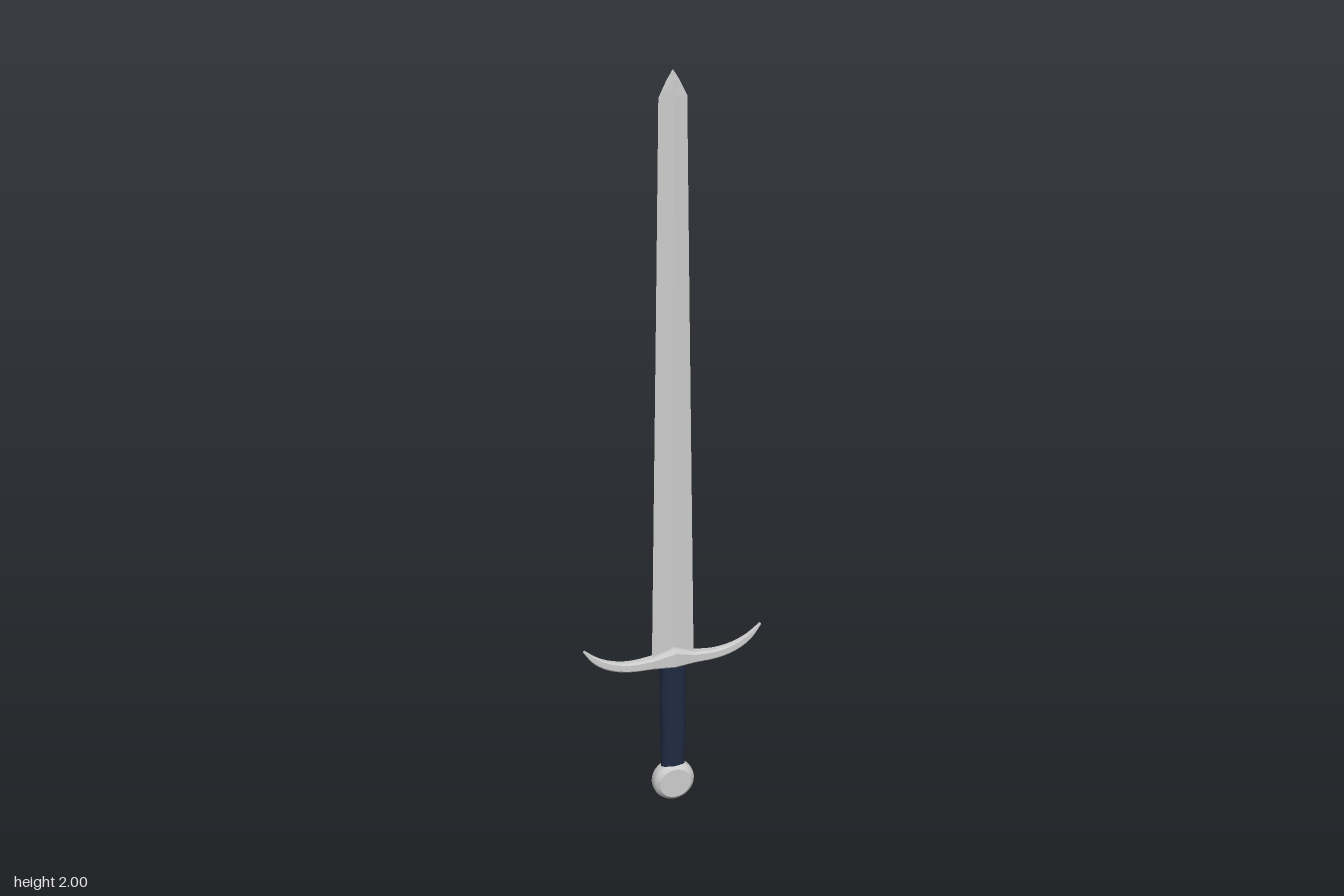
import * as THREE from 'three';
import { toCreasedNormals } from 'three/addons/utils/BufferGeometryUtils.js';

const metal = new THREE.MeshStandardMaterial({ color: 0xcccccc });
const leather = new THREE.MeshStandardMaterial({ color: 0x1f2a42 });

// Skin over rings of [x, y, z]; each ring runs counter-clockwise seen from the far end
function loft(rings, crease) {
  const n = rings[0].length;
  const index = [];
  for (let i = 0; i < rings.length - 1; i++) {
    for (let j = 0; j < n; j++) {
      const a = i * n + j, b = i * n + (j + 1) % n;
      index.push(a, b, b + n, a, b + n, a + n);
    }
  }
  const last = (rings.length - 1) * n;
  for (let j = 1; j < n - 1; j++) {
    index.push(0, j + 1, j, last, last + j, last + j + 1);
  }
  const geometry = new THREE.BufferGeometry();
  geometry.setAttribute('position', new THREE.Float32BufferAttribute(rings.flat(2), 3));
  geometry.setIndex(index);
  return toCreasedNormals(geometry, crease);
}

function part(name, geometry, material) {
  const mesh = new THREE.Mesh(geometry, material);
  mesh.name = name;
  return mesh;
}

// Flat diamond blade with a narrow central ridge: [y, half width, half thickness, ridge half width]
function makeBlade() {
  const sections = [
    [0.42, 0.056, 0.009, 0.005],
    [1.34, 0.043, 0.006, 0.003],
    [1.935, 0.035, 0.004, 0.001],
    [1.975, 0.016, 0.003, 0.0006],
    [2.0, 0.001, 0.0005, 0.0003],
  ];
  const rings = sections.map(([y, w, t, r]) => [
    [w, y, 0], [r, y, -t], [-r, y, -t], [-w, y, 0], [-r, y, t], [r, y, t],
  ]);
  return part('blade', loft(rings, 0.05), metal);
}

// Crossguard: peaked centre block, arms sweeping up to thin tips
function makeGuard() {
  const curve = (points) => new THREE.CatmullRomCurve3(points.map(([x, y, z]) => new THREE.Vector3(x, y, z)));
  // z carries the half depth of the section
  const upper = curve([[0.055, 0.437, 0.014], [0.11, 0.433, 0.011], [0.16, 0.442, 0.008],
    [0.2, 0.461, 0.0055], [0.234, 0.488, 0.003]]);
  const lower = curve([[0.055, 0.405, 0.014], [0.12, 0.407, 0.011], [0.17, 0.42, 0.008],
    [0.21, 0.446, 0.0055], [0.238, 0.484, 0.003]]);
  const stations = [[new THREE.Vector3(0, 0.463, 0.029), new THREE.Vector3(0, 0.405, 0.029)]];
  for (let i = 0; i <= 12; i++) stations.push([upper.getPoint(i / 12), lower.getPoint(i / 12)]);

  const outline = [[1, 0.6], [0.65, 1], [-0.65, 1], [-1, 0.6], [-1, -0.6], [-0.65, -1], [0.65, -1], [1, -0.6]];
  const ring = ([top, bottom], side) => outline.map(([v, d]) => {
    const p = bottom.clone().lerp(top, (v + 1) / 2);
    return [side * p.x, p.y, d * p.z];
  });
  const rings = [
    ...stations.slice(1).reverse().map((s) => ring(s, -1)),
    ...stations.map((s) => ring(s, 1)),
  ];
  return part('crossguard', loft(rings, 0.42), metal);
}

// Oval grip, slightly swollen in the middle
function makeGrip() {
  const rings = [[0.095, 0.032], [0.2, 0.034], [0.32, 0.035], [0.415, 0.034]].map(([y, w]) =>
    Array.from({ length: 16 }, (_, i) => {
      const a = (i / 16) * Math.PI * 2;
      return [w * Math.cos(a), y, -0.018 * Math.sin(a)];
    }));
  return part('grip', loft(rings, 0.8), leather);
}

// Round pommel disc with chamfered rim and flat faces, turned to face front and back
function makePommel() {
  const profile = [[0, -0.024], [0.042, -0.024], [0.052, -0.016], [0.056, -0.007],
    [0.056, 0.007], [0.052, 0.016], [0.042, 0.024], [0, 0.024]];
  const lathe = new THREE.LatheGeometry(profile.map(([r, y]) => new THREE.Vector2(r, y)), 32);
  const geometry = toCreasedNormals(lathe, 0.55);
  geometry.rotateX(Math.PI / 2);
  geometry.translate(0, 0.056, 0);
  return part('pommel', geometry, metal);
}

export function createModel() {
  const sword = new THREE.Group();
  sword.name = 'sword';
  sword.add(makeBlade(), makeGuard(), makeGrip(), makePommel());
  return sword;
}
